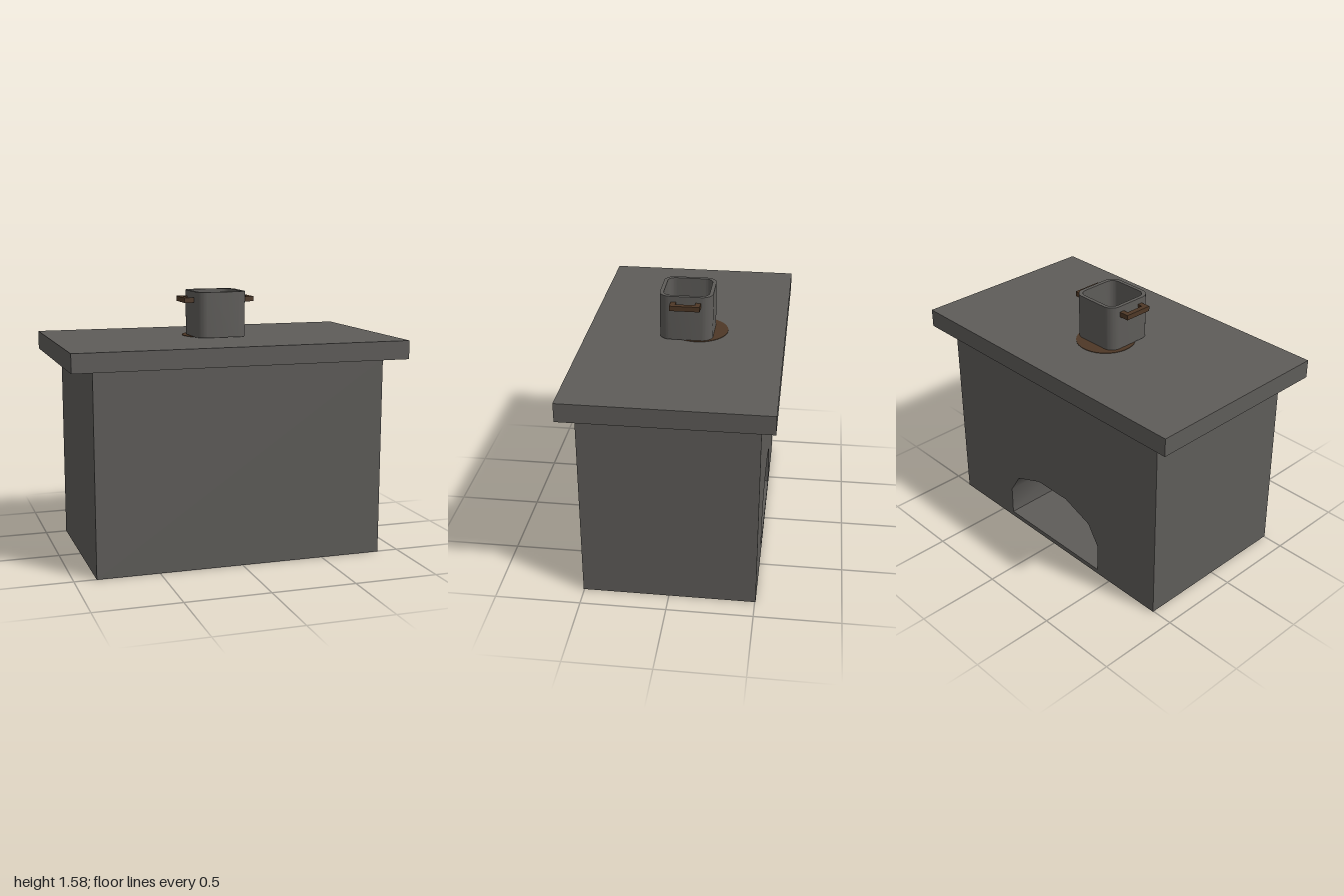
import * as THREE from 'three';
import { toCreasedNormals } from 'three/addons/utils/BufferGeometryUtils.js';

// Traces a rounded square centred on the origin
function roundedSquare(path, half, r) {
  const c = half - r;
  path.moveTo(half, -c);
  path.lineTo(half, c);
  path.absarc(c, c, r, 0, Math.PI / 2);
  path.absarc(-c, c, r, Math.PI / 2, Math.PI);
  path.absarc(-c, -c, r, Math.PI, Math.PI * 1.5);
  path.absarc(c, -c, r, Math.PI * 1.5, Math.PI * 2);
  return path;
}

export function createModel() {
  const stone = new THREE.MeshStandardMaterial({ name: 'stoneGrey', color: 0x5e5c59 });
  const brown = new THREE.MeshStandardMaterial({ name: 'darkBrown', color: 0x4e3826 });
  const model = new THREE.Group();
  model.name = 'stove';

  function add(parent, name, geometry, material, x = 0, y = 0, z = 0) {
    const mesh = new THREE.Mesh(geometry, material);
    mesh.name = name;
    mesh.position.set(x, y, z);
    parent.add(mesh);
    return mesh;
  }

  // Solid front part of the body and the overhanging slab
  add(model, 'bodyFront', new THREE.BoxGeometry(1.74, 1.19, 0.58), stone, 0, 0.595, 0.215);
  add(model, 'topSlab', new THREE.BoxGeometry(2, 0.11, 1.17), stone, 0, 1.245, 0);

  // Back part of the body with the arched fire opening
  const wall = new THREE.Shape();
  wall.moveTo(-0.87, 0);
  wall.lineTo(0.87, 0);
  wall.lineTo(0.87, 1.19);
  wall.lineTo(-0.87, 1.19);
  wall.closePath();
  const arch = new THREE.Path();
  arch.moveTo(-0.4, 0.03);
  for (let i = 0; i <= 5; i++) {
    const a = Math.PI * (1 - i / 5);
    arch.lineTo(0.4 * Math.cos(a), 0.21 + 0.21 * Math.sin(a));
  }
  arch.lineTo(0.4, 0.03);
  arch.closePath();
  wall.holes.push(arch);
  const backGeometry = new THREE.ExtrudeGeometry(wall, { depth: 0.43, bevelEnabled: false });
  add(model, 'bodyBack', toCreasedNormals(backGeometry, 0.7), stone, 0, 0, -0.505);

  // Round hot plate under the pot
  add(model, 'hotPlate', new THREE.CylinderGeometry(0.175, 0.175, 0.006, 40), brown, -0.02, 1.3, -0.07);

  // Pot: rounded square wall, floor and two bracket handles
  const pot = new THREE.Group();
  pot.name = 'pot';
  pot.position.set(-0.01, 1.305, -0.008);
  model.add(pot);
  const rim = roundedSquare(new THREE.Shape(), 0.156, 0.065);
  rim.holes.push(roundedSquare(new THREE.Path(), 0.134, 0.048));
  const base = roundedSquare(new THREE.Shape(), 0.15, 0.06);
  const potPart = (name, shape, depth) => {
    const g = new THREE.ExtrudeGeometry(shape, { depth, bevelEnabled: false, curveSegments: 8 });
    g.rotateX(-Math.PI / 2);
    add(pot, name, toCreasedNormals(g, 0.7), stone);
  };
  potPart('potWall', rim, 0.27);
  potPart('potFloor', base, 0.02);

  for (const side of [-1, 1]) {
    const handle = new THREE.Group();
    handle.name = side > 0 ? 'leftHandle' : 'rightHandle';
    handle.position.set(0, 0.22, -0.002);
    pot.add(handle);
    add(handle, 'grip', new THREE.BoxGeometry(0.03, 0.03, 0.175), brown, side * 0.202);
    for (const z of [-0.072, 0.072]) {
      add(handle, 'arm', new THREE.BoxGeometry(0.037, 0.03, 0.031), brown, side * 0.1685, 0, z);
    }
  }
  return model;
}
